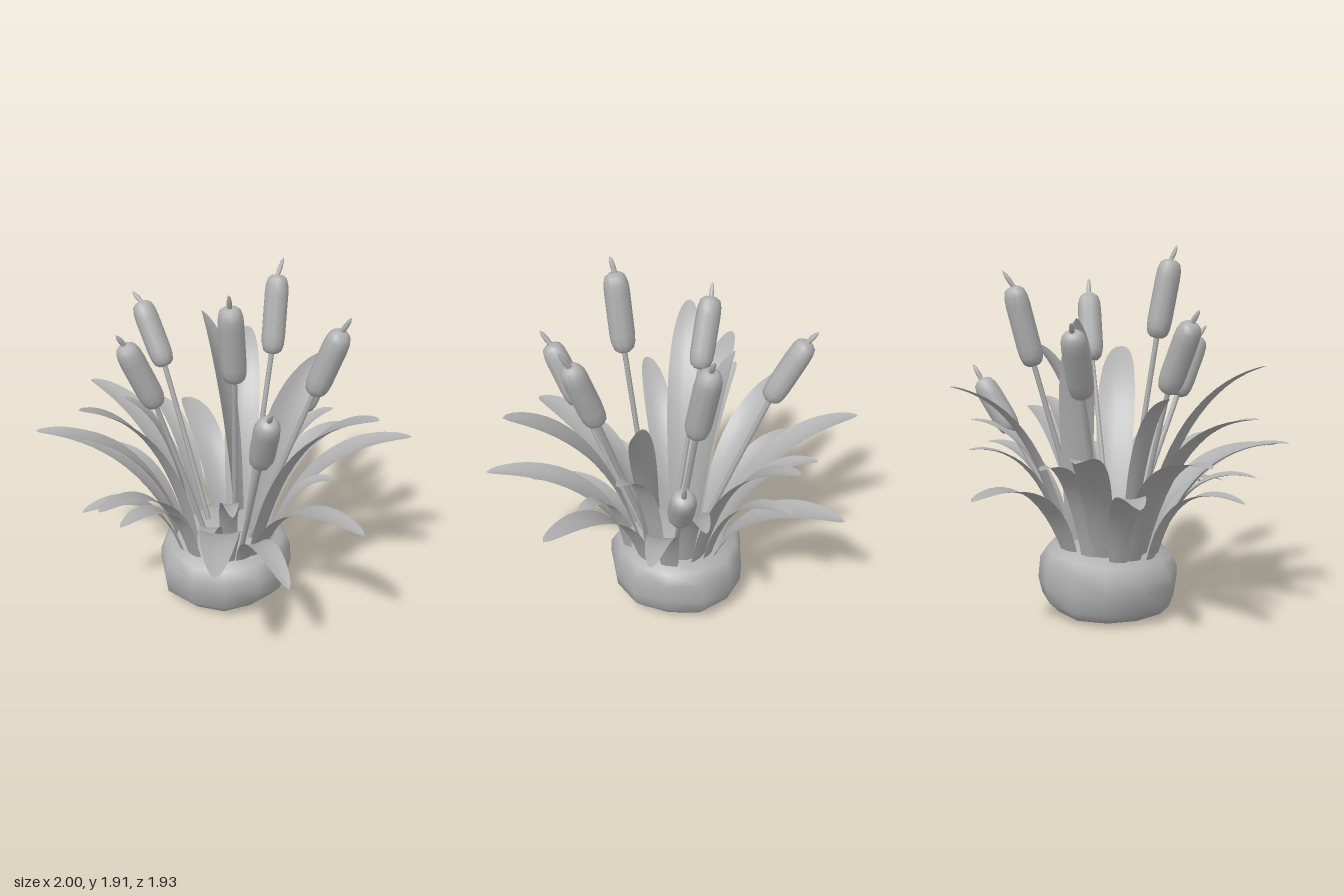
import * as THREE from 'three';
import { mergeVertices } from 'three/addons/utils/BufferGeometryUtils.js';

const V = (x, y, z) => new THREE.Vector3(x, y, z);
const CX = 0.01, CZ = -0.1; // centre of the clump

// Lumpy rounded stone that holds the plants, its top tilted towards the front
function stoneGeometry() {
  const profile = [[0, 0.008], [0.19, 0.012], [0.295, 0.035], [0.345, 0.09], [0.362, 0.18],
    [0.358, 0.265], [0.325, 0.33], [0.22, 0.365], [0.1, 0.388], [0, 0.4]];
  let geo = new THREE.LatheGeometry(profile.map(([r, y]) => new THREE.Vector2(r, y)), 12);
  geo.deleteAttribute('uv');
  geo.deleteAttribute('normal');
  geo = mergeVertices(geo, 1e-4);
  const p = geo.attributes.position;
  for (let i = 0; i < p.count; i++) {
    const x = p.getX(i), y = p.getY(i), z = p.getZ(i), a = Math.atan2(z, x);
    const k = 1 + 0.025 * Math.sin(5 * a + 9 * y) + 0.015 * Math.cos(3 * a - 14 * y);
    const tilt = y < 0.15 ? 0.04 * x : y > 0.25 ? 0.05 * x - 0.06 * z : 0;
    p.setXYZ(i, x * k + CX, y + tilt, z * k * 1.015 + CZ);
  }
  geo.computeVertexNormals();
  return geo;
}

// Arching blade: a bent strip of five-point cross-sections with a shallow channel
function leafGeometry(tip, halfWidth, baseRadius, { base, twist = 0, taper = 0.55 } = {}) {
  const out = V(tip.x - CX, 0, tip.z - CZ).normalize();
  const start = base || V(CX + out.x * baseRadius, 0.32, CZ + out.z * baseRadius);
  const dir = V(tip.x - start.x, 0, tip.z - start.z);
  const bend = start.clone().addScaledVector(dir, 0.28).setY(0.6 * tip.y + 0.39);
  const curve = new THREE.QuadraticBezierCurve3(start, bend, tip);
  const level = V(-dir.z, 0, dir.x).normalize();
  const rows = 16, cols = 4, pos = [], index = [];
  for (let i = 0; i <= rows; i++) {
    const t = 1 - (1 - i / rows) ** 1.4; // closer rows near the tip
    const c = curve.getPoint(t), tan = curve.getTangent(t);
    const side = level.clone().applyAxisAngle(tan, twist);
    const up = V(0, 0, 0).crossVectors(side, tan).normalize();
    // widest a little past the middle, rounded at the end
    const w = halfWidth * (t < 0.5 ? 0.6 + 0.4 * Math.sin(t * Math.PI)
      : Math.max(0, 1 - ((t - 0.5) / 0.5) ** 2) ** taper);
    for (let j = 0; j <= cols; j++) {
      const s = j / cols * 2 - 1;
      const q = c.clone().addScaledVector(side, s * w).addScaledVector(up, 0.18 * w * s * s);
      pos.push(q.x, q.y, q.z);
      if (i < rows && j < cols) {
        const a = i * (cols + 1) + j, b = a + cols + 1;
        index.push(a, a + 1, b, a + 1, b + 1, b);
      }
    }
  }
  const geo = new THREE.BufferGeometry();
  geo.setAttribute('position', new THREE.Float32BufferAttribute(pos, 3));
  geo.setIndex(index);
  geo.computeVertexNormals();
  return geo;
}

// Reed: stem tube, rounded seed head and a thin spike
function buildReed(material, base, bottom, top, tip) {
  const reed = new THREE.Group();
  reed.name = 'reed';
  const add = (geo, name) => {
    const mesh = new THREE.Mesh(geo, material);
    mesh.name = name;
    reed.add(mesh);
    return mesh;
  };
  const mid = base.clone().lerp(bottom, 0.5);
  const stem = new THREE.CatmullRomCurve3([base, mid, bottom.clone().lerp(top, 0.1)]);
  add(new THREE.TubeGeometry(stem, 8, 0.014, 6), 'stem');

  const axis = top.clone().sub(bottom), len = axis.length();
  const r = 0.065;
  const profile = [[0, 0], [0.5, 0.006], [0.8, 0.022], [0.95, 0.055], [1, 0.1]]
    .map(([k, y]) => new THREE.Vector2(k * r, y));
  const upper = profile.slice().reverse().map((q) => new THREE.Vector2(q.x, len - q.y));
  const head = add(new THREE.LatheGeometry([...profile, ...upper], 10), 'seedHead');
  head.position.copy(bottom);
  head.quaternion.setFromUnitVectors(V(0, 1, 0), axis.clone().normalize());

  const spikeAxis = tip.clone().sub(top), spikeLen = spikeAxis.length();
  const spikeShape = [[0.012, -0.02], [0.014, 0.35 * spikeLen], [0.01, 0.75 * spikeLen], [0, spikeLen]];
  const spike = add(new THREE.LatheGeometry(spikeShape.map(([x, y]) => new THREE.Vector2(x, y)), 6), 'spike');
  spike.position.copy(top);
  spike.quaternion.setFromUnitVectors(V(0, 1, 0), spikeAxis.normalize());
  return reed;
}

export function createModel() {
  const model = new THREE.Group();
  model.name = 'reedClump';
  const grey = new THREE.MeshStandardMaterial({ color: 0xb0b0b0, side: THREE.DoubleSide });
  grey.name = 'plain grey';

  const stone = new THREE.Mesh(stoneGeometry(), grey);
  stone.name = 'stoneBase';
  model.add(stone);

  // Leaves: tip x, y, z, half width, distance of the root from the centre, options
  const outerLeaves = [
    [-1, 0.96, -0.13, 0.085, 0.26], [0.995, 0.96, -0.1, 0.085, 0.26],
    [-0.02, 0.795, 0.96, 0.1, 0.26], [-0.77, 1, -0.69, 0.08, 0.23],
    [-0.25, 0.75, -0.97, 0.085, 0, { base: V(-0.01, 0.32, -0.34) }],
    [0.685, 0.82, 0.64, 0.08, 0.26], [0.33, 0.54, 0.69, 0.065, 0.26],
    [-0.58, 0.93, 0.625, 0.075, 0.26], [-0.765, 0.75, -0.36, 0.075, 0.27],
    [0.7, 0.83, -0.5, 0.07, 0.26], [-0.72, 0.69, 0.25, 0.065, 0.27],
    [-0.5, 0.75, 0.48, 0.065, 0.26],
  ];
  const innerLeaves = [
    [0.125, 1.24, -0.92, 0.085, 0, { base: V(0.1, 0.31, -0.31) }],
    [0.065, 0.93, -0.855, 0.055, 0, { base: V(0.05, 0.31, -0.33) }],
    [-0.41, 0.9, -0.69, 0.06, 0.24], [0.5, 1, -0.67, 0.06, 0.22],
    [-0.86, 1.13, 0.22, 0.08, 0.22], [-0.68, 1.35, 0.39, 0.09, 0.2],
    [0.75, 1.31, 0.39, 0.105, 0.21], [-0.1, 0.65, 0.55, 0.05, 0.23],
    [0.055, 0.89, 0.6, 0.05, 0.23], [-0.52, 1.2, -0.06, 0.055, 0.18],
    [0.58, 1.08, -0.19, 0.06, 0.2],
    [0.6, 0.79, 0.07, 0.05, 0, { base: V(0.24, 0.31, 0.06) }],
    [0.55, 1.38, -0.265, 0.085, 0, { base: V(0.16, 0.31, -0.06), twist: 1.05, taper: 0.8 }],
    [-0.12, 1.57, -0.345, 0.09, 0, { base: V(0.08, 0.33, -0.25), taper: 0.95 }],
  ];
  const addLeaves = (list, name) => {
    for (const [x, y, z, width, radius, options] of list) {
      const leaf = new THREE.Mesh(leafGeometry(V(x, y, z), width, radius, options), grey);
      leaf.name = name;
      model.add(leaf);
    }
  };
  addLeaves(outerLeaves, 'outerLeaf');
  addLeaves(innerLeaves, 'innerLeaf');

  // Reeds: stem root, head bottom, head top, spike tip
  const reeds = [
    [[0.065, 0.36, 0.03], [0.06, 1.425, 0.215], [0.035, 1.84, 0.29], [0.03, 1.915, 0.325]],
    [[0.13, 0.36, -0.18], [0.255, 1.295, -0.405], [0.28, 1.71, -0.505], [0.31, 1.79, -0.55]],
    [[0.14, 0.36, -0.02], [0.455, 1.275, 0.04], [0.58, 1.64, 0.085], [0.62, 1.72, 0.11]],
    [[0.1, 0.36, 0.07], [0.185, 1.085, 0.425], [0.22, 1.405, 0.585], [0.23, 1.465, 0.645]],
    [[0.18, 0.36, -0.21], [0.43, 0.925, -0.455], [0.555, 1.205, -0.58], [0.59, 1.285, -0.61]],
    [[-0.08, 0.36, 0], [-0.335, 1.2, 0.04], [-0.485, 1.56, 0.09], [-0.52, 1.62, 0.11]],
    [[-0.08, 0.36, -0.18], [-0.32, 1.21, -0.42], [-0.455, 1.54, -0.54], [-0.5, 1.585, -0.57]],
  ];
  for (const points of reeds) model.add(buildReed(grey, ...points.map((p) => V(...p))));
  return model;
}
